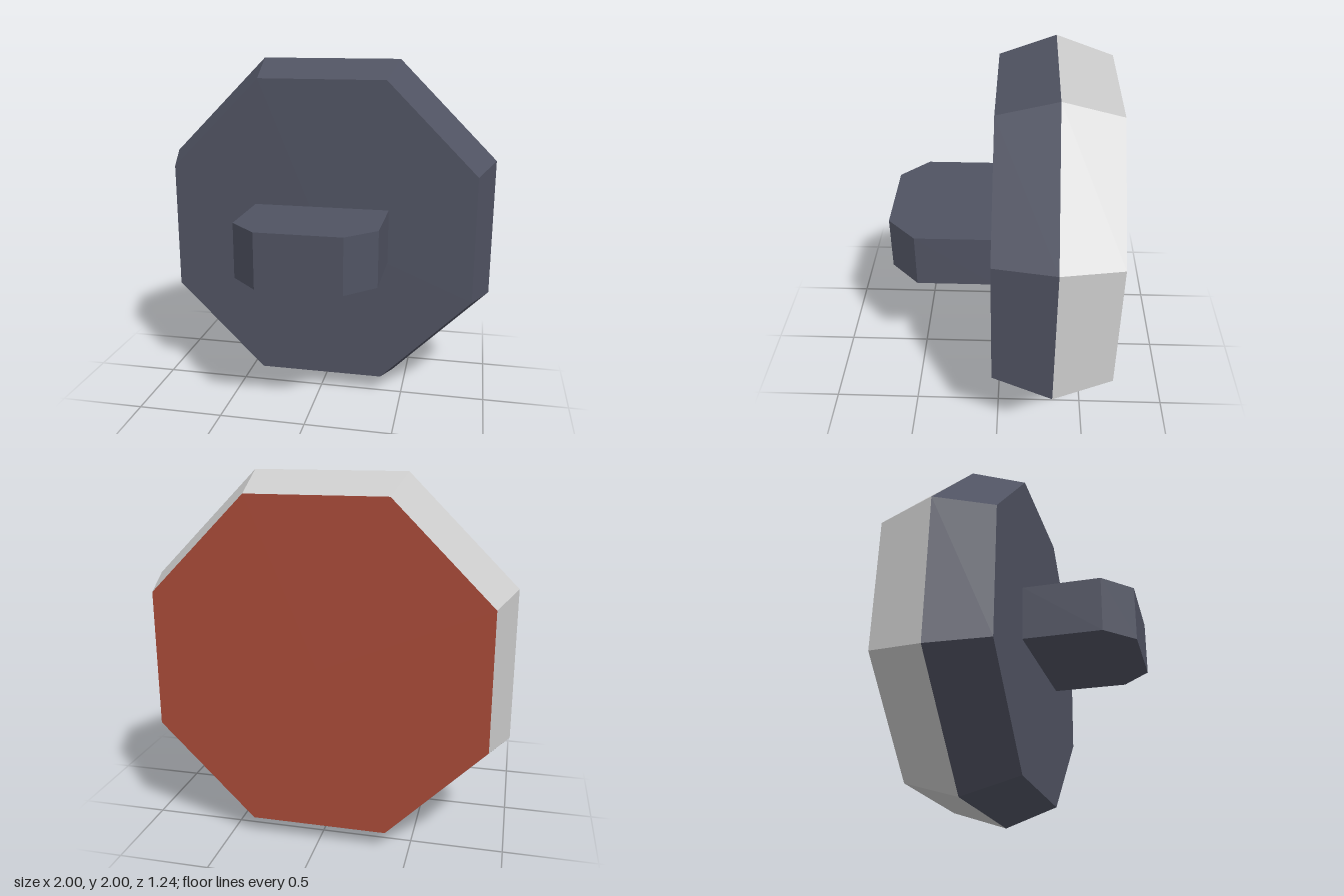
import * as THREE from 'three';

export function createModel() {
  const group = new THREE.Group();
  const material = (color) => new THREE.MeshStandardMaterial({ color, flatShading: true });
  const dark = material(0x505362), grey = material(0xcccccc), red = material(0xa84a38);

  const add = (name, geometry, mat, y, z) => {
    const mesh = new THREE.Mesh(geometry, mat);
    mesh.name = name;
    mesh.position.set(0, y, z);
    group.add(mesh);
    return mesh;
  };

  // Octagons are sized by the distance from centre to flat side
  const corner = (flat) => flat / Math.cos(Math.PI / 8);
  const ring = (front, back, depth) =>
    new THREE.CylinderGeometry(corner(front), corner(back), depth, 8, 1, true, Math.PI / 8).rotateX(Math.PI / 2);
  const face = () => new THREE.CircleGeometry(corner(0.9), 8, Math.PI / 8);

  // Octagonal head, widest at the middle
  add('frontBevel', ring(0.9, 1, 0.32), dark, 1, -0.14);
  add('frontFace', face(), dark, 1, 0.02);
  add('backBevel', ring(1, 0.9, 0.32), grey, 1, -0.46);
  add('backFace', face(), red, 1, -0.62).rotation.y = Math.PI;

  // Flat tab handle with cut corners, outline drawn in plan
  const outline = new THREE.Shape(
    [[-0.4, 0.02], [-0.4, 0.46], [-0.24, 0.62], [0.24, 0.62], [0.4, 0.46], [0.4, 0.02]]
      .map(([x, z]) => new THREE.Vector2(x, z)));
  const tab = new THREE.ExtrudeGeometry(outline, { depth: 0.316, bevelEnabled: false }).rotateX(Math.PI / 2);
  add('handle', tab, dark, 1.16, 0);

  return group;
}
